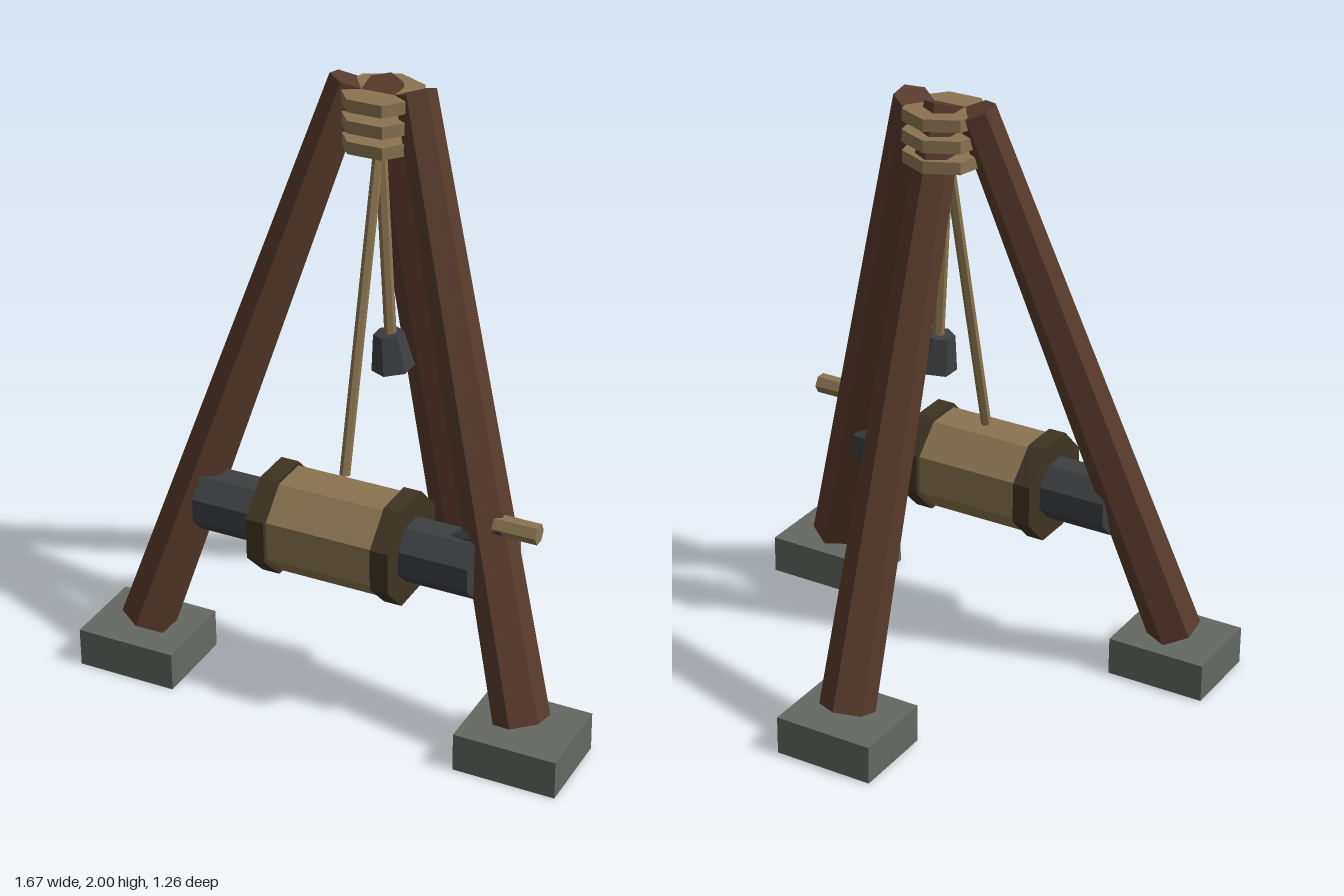
import * as THREE from 'three';

const mat = (name, color) => {
  const m = new THREE.MeshStandardMaterial({ color, flatShading: true });
  m.name = name;
  return m;
};

export function createModel() {
  const group = new THREE.Group();
  const wood = mat('wood', 0x573a2c);
  const tan = mat('rope and pale wood', 0x8a7550);
  const trim = mat('dark wood', 0x3f3423);
  const iron = mat('iron', 0x3d3e41);
  const stone = mat('stone', 0x646862);

  const add = (name, geometry, material, x = 0, y = 0, z = 0) => {
    const mesh = new THREE.Mesh(geometry, material);
    mesh.name = name;
    mesh.position.set(x, y, z);
    group.add(mesh);
    return mesh;
  };

  // Tapered rod between two points
  const rod = (name, from, to, rFrom, rTo, sides, material) => {
    const a = new THREE.Vector3(...from), b = new THREE.Vector3(...to);
    const d = b.clone().sub(a);
    const mesh = add(name, new THREE.CylinderGeometry(rTo, rFrom, d.length(), sides), material);
    mesh.position.copy(a).add(b).multiplyScalar(0.5);
    mesh.quaternion.setFromUnitVectors(new THREE.Vector3(0, 1, 0), d.normalize());
    return mesh;
  };

  // Octagonal drum section lying along x; apothem is half the flat-to-flat width
  const section = (name, apothem, length, x, material) => {
    const r = apothem / Math.cos(Math.PI / 8);
    const g = new THREE.CylinderGeometry(r, r, length, 8, 1, false, Math.PI / 8);
    g.rotateZ(Math.PI / 2);
    return add(name, g, material, x, 0.6, 0.4);
  };

  // Tripod legs on stone footings
  const legs = [
    ['leftLeg', 0.665, 0.485, 0.11],
    ['rightLeg', -0.665, 0.485, -0.11],
    ['backLeg', 0, -0.485, 0],
  ];
  for (const [name, x, z, topX] of legs) {
    rod(name, [x * 0.992, 0.145, z], [topX, 1.98, 0.1], 0.09, 0.063, 6, wood);
    add(name + 'Footing', new THREE.BoxGeometry(0.34, 0.13, 0.29), stone, x, 0.065, z);
  }

  // Lashing around the top
  for (const y of [1.815, 1.882, 1.95]) {
    add('lashing', new THREE.CylinderGeometry(0.133, 0.133, 0.04, 7, 1, false, Math.PI), tan, 0, y, 0.103);
  }

  // Winch
  section('axle', 0.096, 0.95, 0, iron);
  section('drum', 0.156, 0.36, 0, tan);
  for (const s of [-1, 1]) section('drumFlange', 0.168, 0.06, s * 0.213, trim);

  // Crank
  rod('crankArm', [0.38, 0.67, 0.41], [0.55, 0.755, 0.395], 0.025, 0.025, 6, iron);
  rod('crankHandle', [0.52, 0.757, 0.39], [0.663, 0.757, 0.39], 0.033, 0.033, 6, tan);

  // Hoisting rope, and a plumb weight on its own rope
  rod('hoistRope', [0, 0.785, 0.37], [0, 1.85, 0.11], 0.017, 0.017, 6, tan);
  rod('weightRope', [0.047, 1.17, 0.143], [0, 1.85, 0.12], 0.019, 0.019, 6, tan);
  rod('weight', [0.052, 1.065, 0.143], [0.044, 1.185, 0.145], 0.068, 0.048, 6, iron).rotateZ(0.06);

  return group;
}
